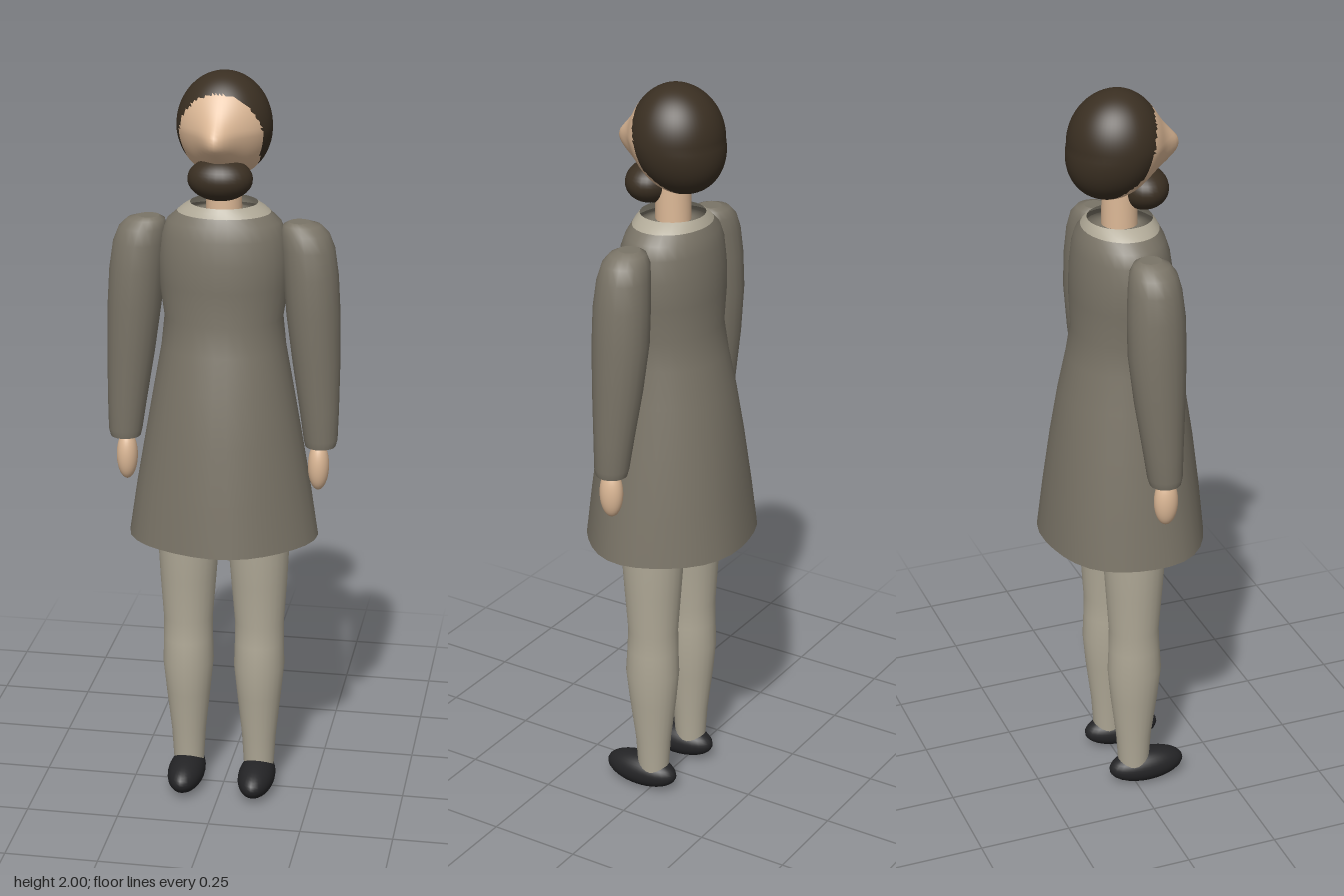
import * as THREE from 'three';
import { mergeVertices } from 'three/addons/utils/BufferGeometryUtils.js';

const paint = (name, color, side = THREE.FrontSide) => {
  const m = new THREE.MeshStandardMaterial({ color, side });
  m.name = name;
  return m;
};

// Stacks ellipses given as [y, centreX, centreZ, radiusX, radiusZ], top to bottom.
function loft(rows, sides, { caps = true, wobble = () => 0 } = {}) {
  const pos = [], idx = [];
  const ring = ([y, cx, cz, rx, rz], r) => {
    for (let i = 0; i < sides; i++) {
      const a = (i / sides) * Math.PI * 2;
      const k = 1 + wobble(a, y, r);
      pos.push(cx + Math.sin(a) * rx * k, y, cz + Math.cos(a) * rz * k);
    }
  };
  rows.forEach(ring);
  for (let r = 0; r < rows.length - 1; r++) {
    for (let i = 0; i < sides; i++) {
      const j = (i + 1) % sides, a = r * sides, b = a + sides;
      idx.push(a + i, b + i, b + j, a + i, b + j, a + j);
    }
  }
  if (caps) {
    for (const r of [0, rows.length - 1]) {
      const start = pos.length / 3;
      ring(rows[r], r);
      pos.push(rows[r][1], rows[r][0], rows[r][2]);
      for (let i = 0; i < sides; i++) {
        const a = start + i, b = start + (i + 1) % sides, c = start + sides;
        if (r === 0) idx.push(a, b, c); else idx.push(b, a, c);
      }
    }
  }
  const g = new THREE.BufferGeometry();
  g.setAttribute('position', new THREE.Float32BufferAttribute(pos, 3));
  g.setIndex(idx);
  g.computeVertexNormals();
  return g;
}

// Head: an egg with a wedge nose, its triangles sorted into skin and hair.
function headGeometry() {
  let g = new THREE.SphereGeometry(1, 64, 48);
  g.deleteAttribute('uv');
  g.deleteAttribute('normal');
  g = mergeVertices(g, 1e-5);
  const p = g.attributes.position;
  for (let i = 0; i < p.count; i++) {
    const x = p.getX(i) * 0.123, y = 1.86 + p.getY(i) * 0.14, dz = p.getZ(i);
    let z = -0.01 + dz * (dz > 0 ? 0.115 : 0.13);
    if (y < 1.86) z -= 0.2 * (1.86 - y);
    if (dz > 0) z += 0.055 * Math.exp(-((x / 0.042) ** 2) - ((y - 1.835) / 0.055) ** 2);
    p.setXYZ(i, x, y, z);
  }
  const skin = [], hair = [], idx = g.index.array;
  for (let t = 0; t < idx.length; t += 3) {
    const tri = [idx[t], idx[t + 1], idx[t + 2]];
    const y = tri.reduce((s, v) => s + p.getY(v), 0) / 3;
    const z = tri.reduce((s, v) => s + p.getZ(v), 0) / 3;
    const line = y > 1.8 ? 0.03 + (y - 1.8) * 0.28 : 0.03 - (1.8 - y) * 1.1;
    (y > 1.958 || z < line ? hair : skin).push(...tri);
  }
  g.setIndex([...skin, ...hair]);
  g.addGroup(0, skin.length, 0);
  g.addGroup(skin.length, hair.length, 1);
  g.computeVertexNormals();
  return g;
}

export function createModel() {
  const model = new THREE.Group();
  model.name = 'standingMan';

  const coatCloth = paint('coatCloth', 0x7a7467, THREE.DoubleSide);
  const paleCloth = paint('paleCloth', 0xb0a997, THREE.DoubleSide);
  const skin = paint('skin', 0xdcb896);
  const hair = paint('hair', 0x3a2f22);
  const shoeLeather = paint('shoeLeather', 0x242426);

  const add = (name, geometry, material, parent = model) => {
    const m = new THREE.Mesh(geometry, material);
    m.name = name;
    parent.add(m);
    return m;
  };
  const ellipsoid = (name, material, [x, y, z], [rx, ry, rz], parent) => {
    const g = new THREE.SphereGeometry(1, 28, 20).scale(rx, ry, rz).translate(x, y, z);
    return add(name, g, material, parent);
  };

  // Head, beard and neck
  add('head', headGeometry(), [skin, hair]);
  ellipsoid('beard', hair, [0, 1.736, 0.056], [0.084, 0.056, 0.066]);
  add('neck', loft([[1.78, 0, -0.005, 0.045, 0.045], [1.62, 0, -0.005, 0.047, 0.047]], 24), skin);

  // Flared coat, open at the hem, with a slightly uneven skirt
  add('coat', loft([
    [1.638, 0, -0.004, 0.122, 0.098],
    [1.615, 0, -0.004, 0.148, 0.110],
    [1.58, 0, -0.003, 0.163, 0.120],
    [1.52, 0, -0.002, 0.170, 0.128],
    [1.45, 0, -0.002, 0.169, 0.130],
    [1.36, 0, -0.002, 0.156, 0.127],
    [1.28, 0, -0.001, 0.164, 0.142],
    [1.18, 0, 0, 0.182, 0.165],
    [1.05, 0, 0, 0.205, 0.186],
    [0.90, 0, 0, 0.231, 0.205],
    [0.76, 0, 0, 0.252, 0.220],
  ], 32, {
    caps: false,
    wobble: (a, y) => Math.max(0, (1.2 - y) / 0.44) * 0.018 * Math.sin(5 * a + 0.6),
  }), coatCloth);

  // Pale collar and the shirt inside it
  add('collar', loft([
    [1.662, 0, -0.004, 0.088, 0.084],
    [1.650, 0, -0.004, 0.108, 0.092],
    [1.638, 0, -0.004, 0.122, 0.098],
  ], 32, { caps: false }), paleCloth);
  add('shirt', loft([
    [1.645, 0, -0.004, 0.05, 0.05],
    [1.635, 0, -0.004, 0.105, 0.09],
    [1.50, 0, 0, 0.14, 0.10],
  ], 24), coatCloth);
  ellipsoid('hips', paleCloth, [0, 0.98, 0], [0.17, 0.11, 0.11]);

  // Limbs, one set for each side
  for (const s of [1, -1]) {
    const side = s > 0 ? 'left' : 'right';
    const limb = new THREE.Group();
    limb.name = side + 'Limbs';
    model.add(limb);
    const mirrored = (rows) => rows.map(([y, x, ...rest]) => [y, x * s, ...rest]);

    add(side + 'Sleeve', loft(mirrored([
      [1.619, 0.197, 0.002, 0.028, 0.028],
      [1.611, 0.204, 0.002, 0.049, 0.046],
      [1.59, 0.212, 0.003, 0.063, 0.060],
      [1.55, 0.221, 0.004, 0.070, 0.068],
      [1.48, 0.229, 0.005, 0.072, 0.074],
      [1.38, 0.236, 0.005, 0.071, 0.075],
      [1.25, 0.246, 0.009, 0.063, 0.066],
      [1.12, 0.256, 0.015, 0.052, 0.053],
      [1.04, 0.261, 0.019, 0.045, 0.046],
      [1.02, 0.261, 0.020, 0.040, 0.041],
    ]), 20), coatCloth, limb);
    ellipsoid(side + 'Hand', skin, [0.257 * s, 0.965, 0.024], [0.028, 0.067, 0.032], limb);

    add(side + 'TrouserLeg', loft(mirrored([
      [1.00, 0.094, 0, 0.088, 0.092],
      [0.76, 0.095, 0, 0.085, 0.087],
      [0.62, 0.097, -0.001, 0.076, 0.077],
      [0.50, 0.098, -0.002, 0.067, 0.068],
      [0.44, 0.098, -0.001, 0.067, 0.070],
      [0.37, 0.098, 0, 0.069, 0.074],
      [0.28, 0.098, -0.001, 0.060, 0.065],
      [0.16, 0.098, -0.002, 0.047, 0.049],
      [0.06, 0.098, -0.002, 0.041, 0.042],
    ]), 24), paleCloth, limb);
    ellipsoid(side + 'Shoe', shoeLeather, [0.098 * s, 0.047, 0.036], [0.05, 0.047, 0.108], limb);
  }
  return model;
}
